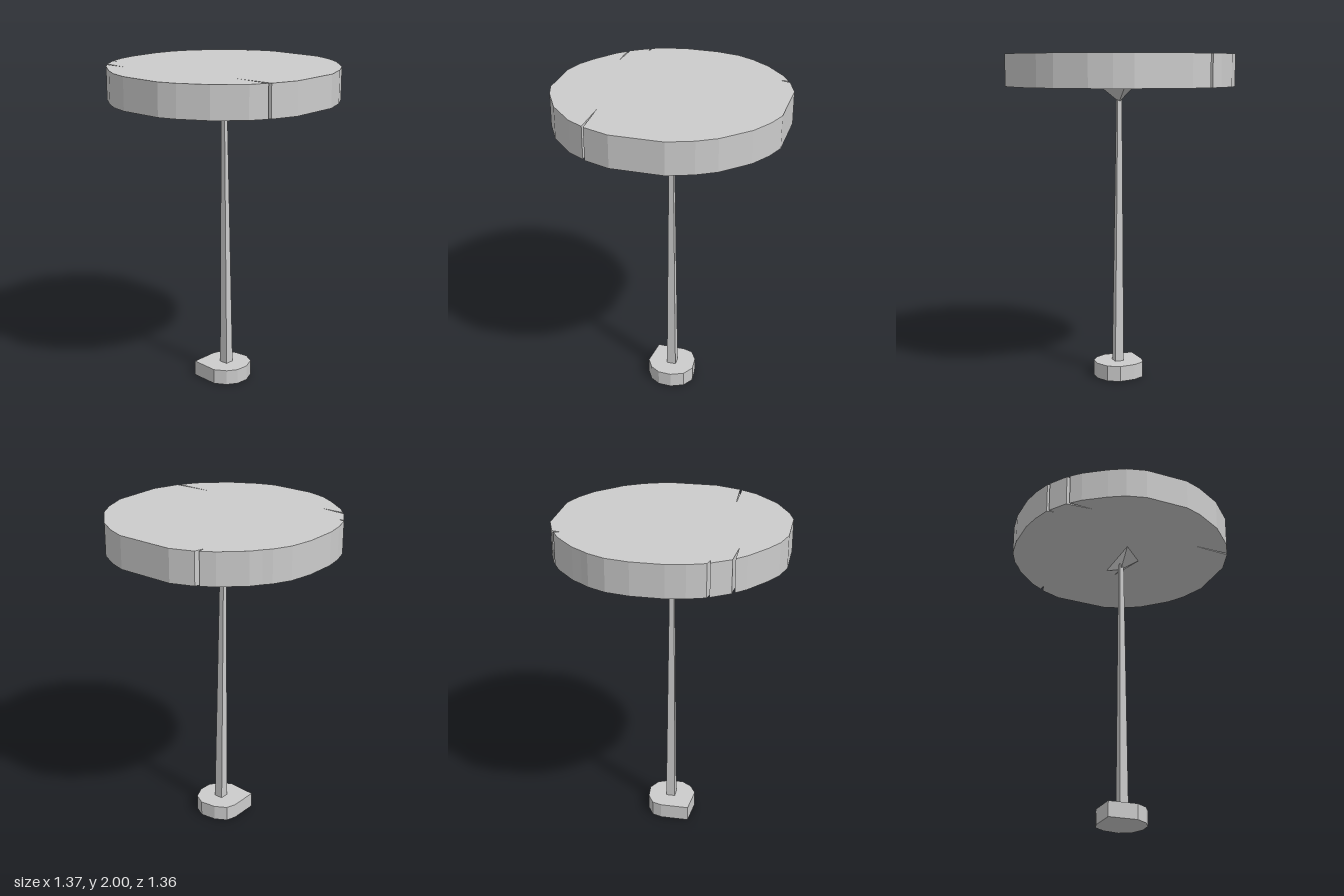
import * as THREE from 'three';

const grey = new THREE.MeshStandardMaterial({ color: 0xcccccc, flatShading: true });

// Upright slab from a plan outline of [x, z] points.
function slab(name, outline, y, height) {
  const shape = new THREE.Shape(outline.map(([x, z]) => new THREE.Vector2(x, -z)));
  const geometry = new THREE.ExtrudeGeometry(shape, { depth: height, bevelEnabled: false });
  geometry.rotateX(-Math.PI / 2).translate(0, y, 0);
  const mesh = new THREE.Mesh(geometry, grey);
  mesh.name = name;
  return mesh;
}

// Square pole: bottom and top are [xMin, xMax, zMin, zMax].
function pole(bottom, top, y0, y1) {
  const geometry = new THREE.BoxGeometry(1, 1, 1);
  const p = geometry.attributes.position;
  for (let i = 0; i < p.count; i++) {
    const high = p.getY(i) > 0;
    const r = high ? top : bottom;
    p.setXYZ(i, r[p.getX(i) > 0 ? 1 : 0], high ? y1 : y0, r[p.getZ(i) > 0 ? 3 : 2]);
  }
  const mesh = new THREE.Mesh(geometry, grey);
  mesh.name = 'pole';
  return mesh;
}

// Inverted pyramid from the tabletop down to the pole.
function bracket(ring, y, apex) {
  const points = [];
  ring.forEach(([x, z], i) => {
    const [nx, nz] = ring[(i + 1) % ring.length];
    points.push(...apex, nx, y, nz, x, y, z);
  });
  const geometry = new THREE.BufferGeometry();
  geometry.setAttribute('position', new THREE.Float32BufferAttribute(points, 3));
  geometry.computeVertexNormals();
  const mesh = new THREE.Mesh(geometry, grey);
  mesh.name = 'bracket';
  return mesh;
}

export function createModel() {
  const group = new THREE.Group();
  group.name = 'pedestalTable';

  // Faceted round top with narrow splits in the rim
  group.add(slab('tabletop', [
    [-0.09, -0.68], [0.10, -0.68], [0.24, -0.655], [0.345, -0.605],
    [0.39, -0.57], [0.45, -0.53], [0.57, -0.40], [0.615, -0.325],
    [0.57, -0.32], [0.63, -0.305], [0.68, -0.17], [0.68, 0.18],
    [0.64, 0.29], [0.57, 0.41], [0.42, 0.56], [0.31, 0.625],
    [0.16, 0.68], [-0.15, 0.68], [-0.307, 0.625], [-0.318, 0.37],
    [-0.32, 0.615], [-0.415, 0.56], [-0.56, 0.41], [-0.65, 0.245],
    [-0.685, 0.14], [-0.685, -0.13], [-0.65, -0.25], [-0.595, -0.345],
    [-0.50, -0.475], [-0.442, -0.53], [-0.44, -0.37], [-0.428, -0.545],
    [-0.32, -0.615], [-0.315, -0.58], [-0.305, -0.625], [-0.20, -0.66],
  ], 1.805, 0.195));

  group.add(bracket([[0.23, 0.06], [0.2, -0.01], [-0.135, -0.01], [0, 0.13]],
    1.805, [0, 1.71, 0.005]));

  group.add(pole([-0.017, 0.04, -0.01, 0.046], [-0.01, 0.015, -0.007, 0.02], 0.09, 1.75));

  // Foot with a square back corner and a rounded front
  group.add(slab('foot', [
    [-0.125, -0.13], [0.05, -0.13], [0.11, -0.11], [0.15, -0.04],
    [0.16, 0.06], [0.12, 0.13], [0.04, 0.165], [-0.04, 0.16],
    [-0.10, 0.12], [-0.14, 0.05],
  ], 0, 0.095));

  return group;
}
